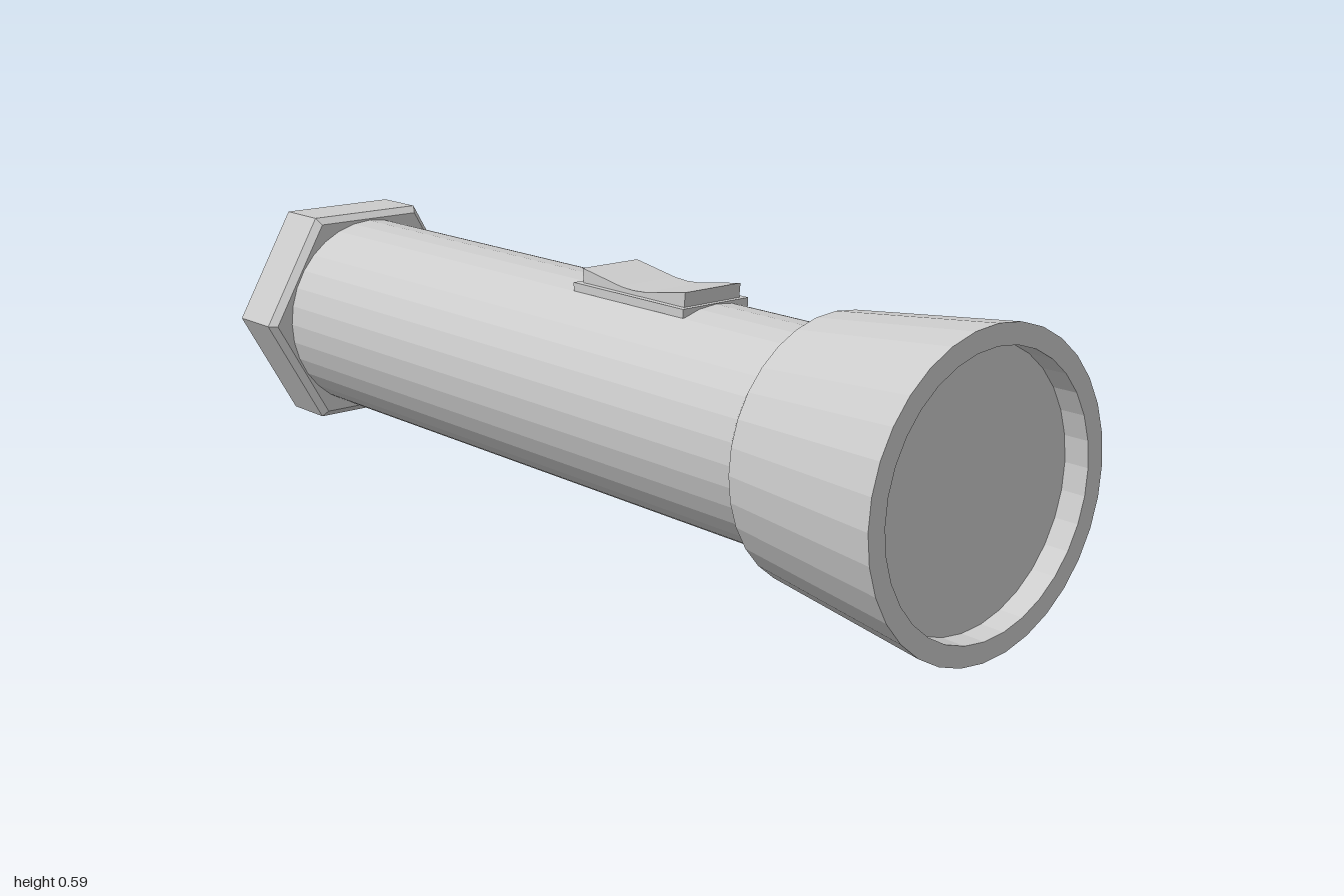
import * as THREE from 'three';

const AXIS_Y = 0.297;

export function createModel() {
  const model = new THREE.Group();
  const material = new THREE.MeshStandardMaterial({ color: 0xcccccc, flatShading: true });

  const add = (name, geometry) => {
    const mesh = new THREE.Mesh(geometry, material);
    mesh.name = name;
    model.add(mesh);
    return mesh;
  };

  // Turned part along x; profile is [x, radius], running tail to front
  const turned = (name, profile, sides) => {
    const points = profile.map(([x, r]) => new THREE.Vector2(r, x));
    const geometry = new THREE.LatheGeometry(points, sides);
    geometry.rotateZ(-Math.PI / 2);
    geometry.translate(0, AXIS_Y, 0);
    return add(name, geometry);
  };

  // Barrel
  turned('barrel', [[-0.9, 0.213], [0.6, 0.213]], 32);

  // Flared head with a recessed opening
  turned('head', [
    [0.595, 0.213], [0.635, 0.253], [1, 0.295], [1, 0.256], [0.95, 0.256],
  ], 32);
  turned('lens', [[0.95, 0.256], [0.95, 0]], 32);

  // Hexagonal tail cap, chamfered at both ends
  turned('tailCap', [
    [-1, 0], [-1, 0.236], [-0.97, 0.266], [-0.855, 0.266], [-0.84, 0.25], [-0.84, 0.2],
  ], 6);

  // Switch plate
  const plate = add('switchPlate', new THREE.BoxGeometry(0.32, 0.017, 0.166));
  plate.position.set(0.165, 0.503, 0);

  // Rocker button with a dished top
  const rocker = new THREE.Shape();
  rocker.moveTo(-0.147, 0);
  rocker.lineTo(0.147, 0);
  rocker.lineTo(0.15, 0.03);
  rocker.lineTo(0.035, 0.012);
  rocker.lineTo(0, 0.01);
  rocker.lineTo(-0.035, 0.012);
  rocker.lineTo(-0.15, 0.03);
  rocker.closePath();
  const button = add('switchButton', new THREE.ExtrudeGeometry(rocker, { depth: 0.14, bevelEnabled: false }));
  button.position.set(0.167, 0.51, -0.07);

  return model;
}
